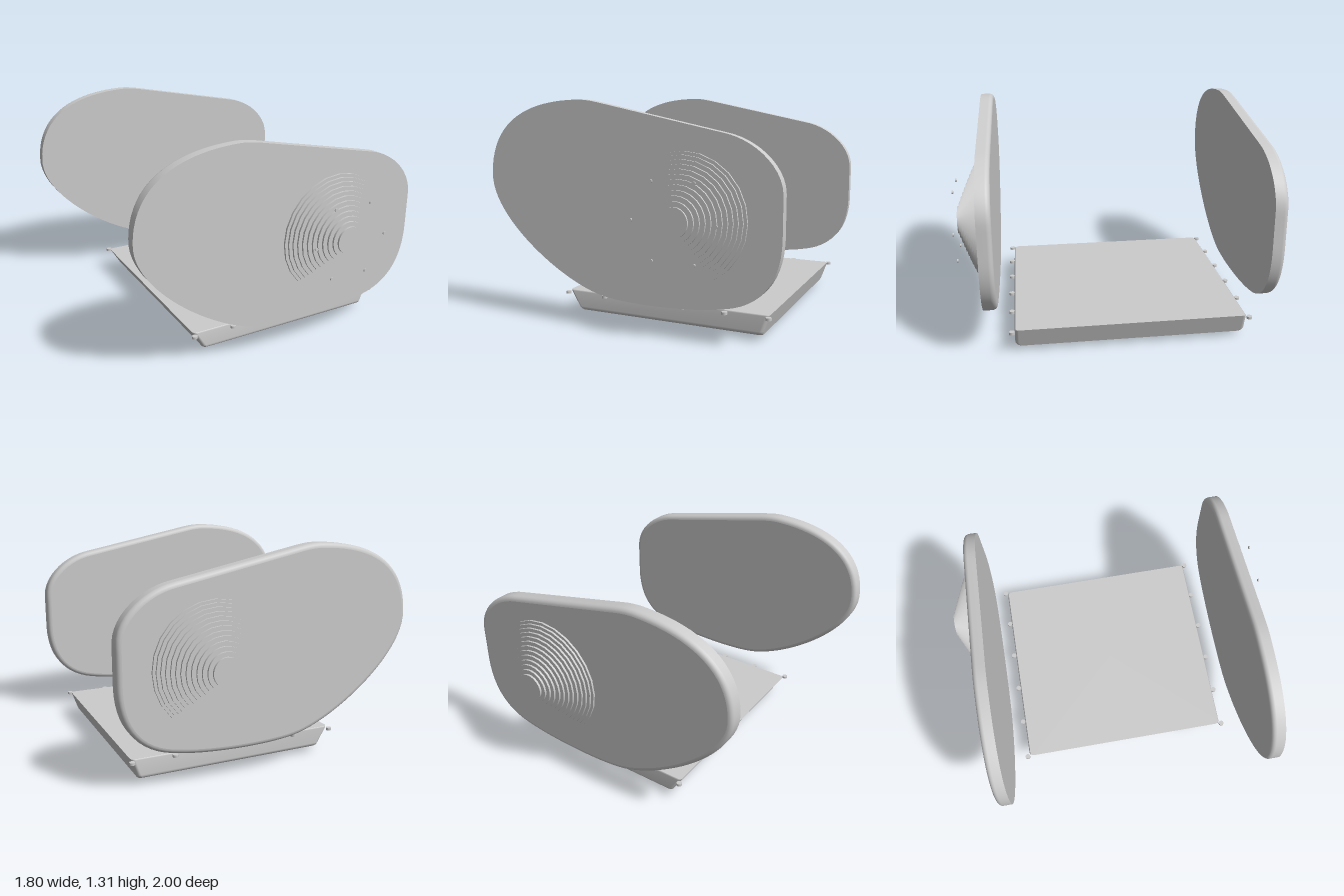
import * as THREE from 'three';

// Joins equal-length convex loops (counter-clockwise seen from the first loop's side) and caps both ends.
function loft(loops) {
  const pos = [], idx = [], n = loops[0].length;
  loops.forEach(l => l.forEach(p => pos.push(...p)));
  for (let r = 0; r < loops.length - 1; r++) {
    for (let i = 0; i < n; i++) {
      const j = (i + 1) % n, a = r * n + i, b = r * n + j;
      idx.push(a, a + n, b, b, a + n, b + n);
    }
  }
  // Caps get their own corners, so their edges stay crisp
  const cap = (loop, flip) => {
    const base = pos.length / 3;
    const mid = [0, 1, 2].map(k => loop.reduce((s, p) => s + p[k], 0) / n);
    loop.forEach(p => pos.push(...p));
    pos.push(...mid);
    for (let i = 0; i < n; i++) {
      const a = base + i, b = base + (i + 1) % n;
      idx.push(base + n, flip ? b : a, flip ? a : b);
    }
  };
  cap(loops[0], false);
  cap(loops[loops.length - 1], true);
  const g = new THREE.BufferGeometry();
  g.setAttribute('position', new THREE.Float32BufferAttribute(pos, 3));
  g.setIndex(idx);
  g.computeVertexNormals();
  return g;
}

// Teardrop outline of the side covers
function coverOutline() {
  const s = new THREE.Shape();
  s.moveTo(-0.17, 1.293);
  s.bezierCurveTo(-0.22, 1.303, -0.27, 1.31, -0.323, 1.306);
  s.bezierCurveTo(-0.75, 1.29, -0.905, 1.1, -0.905, 0.855);
  s.bezierCurveTo(-0.905, 0.6, -0.45, 0.27, -0.172, 0.204);
  s.bezierCurveTo(0, 0.165, 0.4, 0.175, 0.58, 0.215);
  s.bezierCurveTo(0.8, 0.25, 0.9, 0.4, 0.9, 0.62);
  s.lineTo(0.9, 0.835);
  s.bezierCurveTo(0.9, 0.97, 0.76, 1.1, 0.6, 1.137);
  s.closePath();
  return s.getSpacedPoints(120).slice(0, 120);
}

// Plate with a flat +z face and a rounded rim on the -z side
function coverGeometry(zFront) {
  const pts = coverOutline(), n = pts.length, round = 0.028, depth = 0.08;
  const ring = (inset, z) => pts.map((p, i) => {
    const t = pts[(i + 1) % n].clone().sub(pts[(i + n - 1) % n]).normalize();
    return [p.x - t.y * inset, p.y + t.x * inset, z];
  });
  const loops = [ring(0, zFront)];
  for (let k = 0; k <= 5; k++) {
    const a = k / 5 * Math.PI / 2;
    loops.push(ring(round * (1 - Math.cos(a)), zFront - depth + round * (1 - Math.sin(a))));
  }
  return loft(loops);
}

// Tray with sloping ends, upright sides and a rounded lower edge
function panGeometry() {
  const top = 0.155, bottom = 0.033, r = 0.022;
  const ring = (y, inset) => {
    const t = (top - y) / (top - bottom);
    const x0 = -0.488 + 0.073 * t, x1 = 0.785 - 0.043 * t, z = 0.68 - inset, out = [];
    const corners = [[x1 - r, -z + r, 0], [x0 + r, -z + r, 1], [x0 + r, z - r, 2], [x1 - r, z - r, 3]];
    corners.forEach(([cx, cz, q]) => {
      for (let k = 0; k <= 4; k++) {
        const a = (q + k / 4) * Math.PI / 2;
        out.push([cx + r * Math.cos(a), y, cz - r * Math.sin(a)]);
      }
    });
    return out;
  };
  const loops = [ring(top, 0.006), ring(top - 0.006, 0)];
  for (let k = 0; k <= 4; k++) {
    const a = k / 4 * Math.PI / 2;
    loops.push(ring(bottom + 0.025 * (1 - Math.sin(a)), 0.025 * (1 - Math.cos(a))));
  }
  return loft(loops);
}

export function createModel() {
  const model = new THREE.Group();
  model.name = 'engineCovers';
  const grey = new THREE.MeshStandardMaterial({ color: 0xcccccc });
  grey.name = 'light grey';

  const add = (parent, name, geo, x = 0, y = 0, z = 0) => {
    const m = new THREE.Mesh(geo, grey);
    m.name = name;
    m.position.set(x, y, z);
    parent.add(m);
    return m;
  };
  const disc = (r, h, sides) => new THREE.CylinderGeometry(r, r, h, sides);

  // Side covers, each with a stepped cone of stacked discs pointing outward
  const hubX = 0.357, hubY = 0.683;
  const covers = [
    { name: 'front', z: 0.85, face: 0.85, tip: 0.988, dir: 1, steps: 12 },
    { name: 'back', z: -0.762, face: -0.842, tip: -1, dir: -1, steps: 13 },
  ];
  covers.forEach(c => {
    add(model, c.name + 'Cover', coverGeometry(c.z));
    const cone = new THREE.Group();
    cone.name = c.name + 'SteppedCone';
    model.add(cone);
    const h = (c.tip - c.face) / c.steps;
    for (let i = 0; i < c.steps; i++) {
      const r = 0.36 - 0.278 * Math.pow(i / (c.steps - 1), 1.12);
      const z = c.face + h * (i + 0.5);
      add(cone, 'coneStep', disc(r, Math.abs(h), 24), hubX, hubY, z).rotation.x = c.dir * Math.PI / 2;
    }
  });

  // Ring of six small studs in front of the front cone
  for (let i = 0; i < 6; i++) {
    const a = i * Math.PI / 3;
    add(model, 'coneStud', disc(0.01, 0.008, 8),
      hubX + 0.243 * Math.cos(a), hubY + 0.243 * Math.sin(a), 0.996).rotation.x = Math.PI / 2;
  }

  // Oil pan with drain plug and rows of rim bolts
  add(model, 'oilPan', panGeometry());
  add(model, 'drainPlug', disc(0.04, 0.036, 6).toNonIndexed(), 0.15, 0.018, 0).geometry.computeVertexNormals();
  for (const z of [-0.695, 0.695]) {
    for (let i = 0; i < 6; i++) {
      add(model, 'panBolt', disc(0.017, 0.015, 10), -0.488 + i * 0.2546, 0.143, z);
    }
  }
  return model;
}
